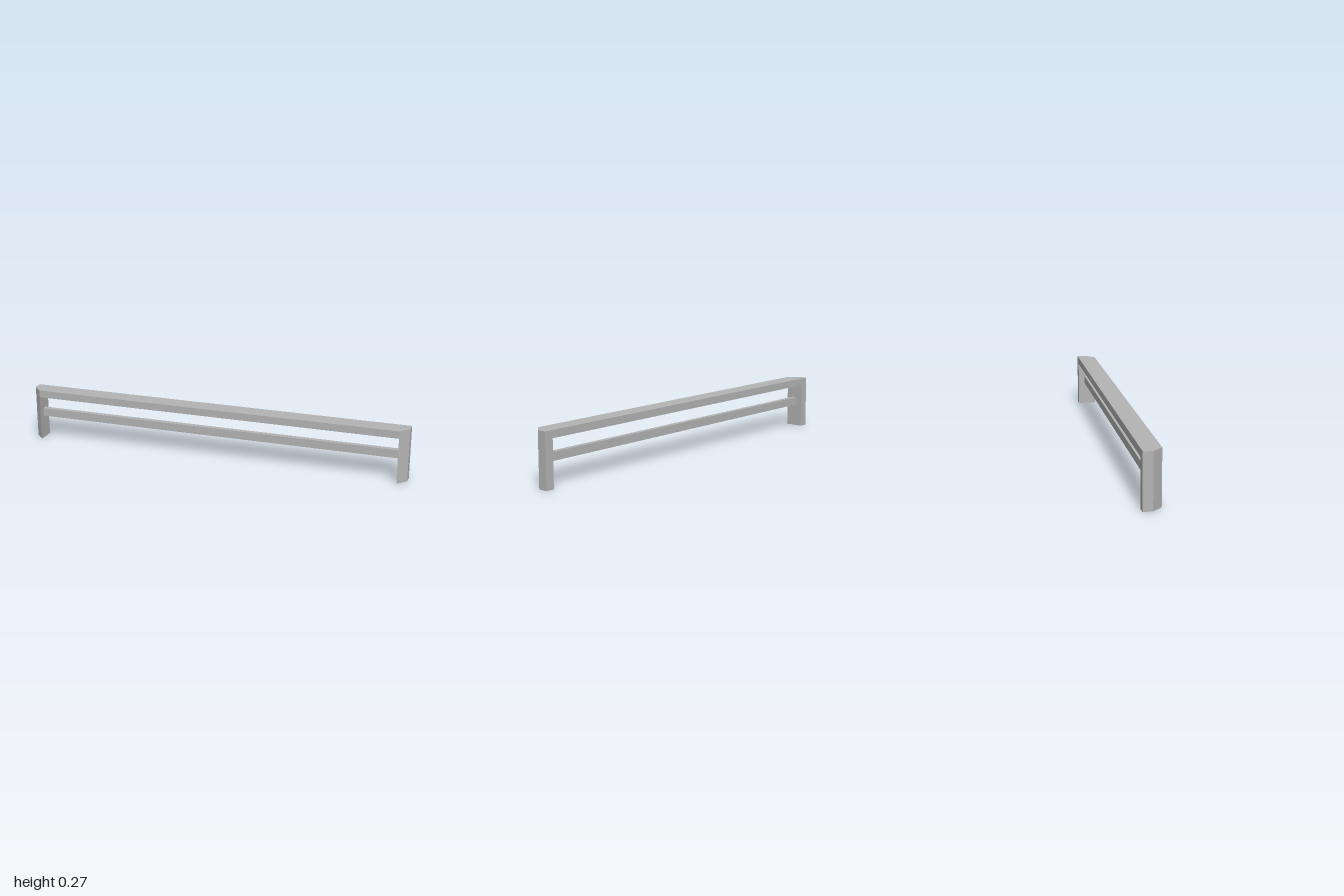
import * as THREE from 'three';

const HEIGHT = 0.273, HALF_DEPTH = 0.0475, INNER = 0.955;

export function createModel() {
  const group = new THREE.Group();
  group.name = 'railing';
  const grey = new THREE.MeshStandardMaterial({ color: 0xb4b4b4 });
  grey.name = 'metal grey';

  const add = (name, geometry) => {
    const mesh = new THREE.Mesh(geometry, grey);
    mesh.name = name;
    group.add(mesh);
    return mesh;
  };

  // End posts: plan outline with the front outer corner cut off, raised to full height
  for (const [name, s] of [['leftPost', 1], ['rightPost', -1]]) {
    const plan = new THREE.Shape([
      [INNER, HALF_DEPTH], [1, 0], [1, -HALF_DEPTH], [INNER, -HALF_DEPTH],
    ].map(([x, z]) => new THREE.Vector2(s * x, -z)));
    const post = new THREE.ExtrudeGeometry(plan, { depth: HEIGHT, bevelEnabled: false });
    post.rotateX(-Math.PI / 2);
    add(name, post);
  }

  // Horizontal rails between the posts
  const addRail = (name, bottom, top, depth) => {
    const rail = add(name, new THREE.BoxGeometry(2 * INNER, top - bottom, depth));
    rail.position.y = (bottom + top) / 2;
  };
  addRail('topRail', 0.235, HEIGHT, 2 * HALF_DEPTH);
  addRail('lowerRail', 0.12, 0.162, 0.027);

  return group;
}
